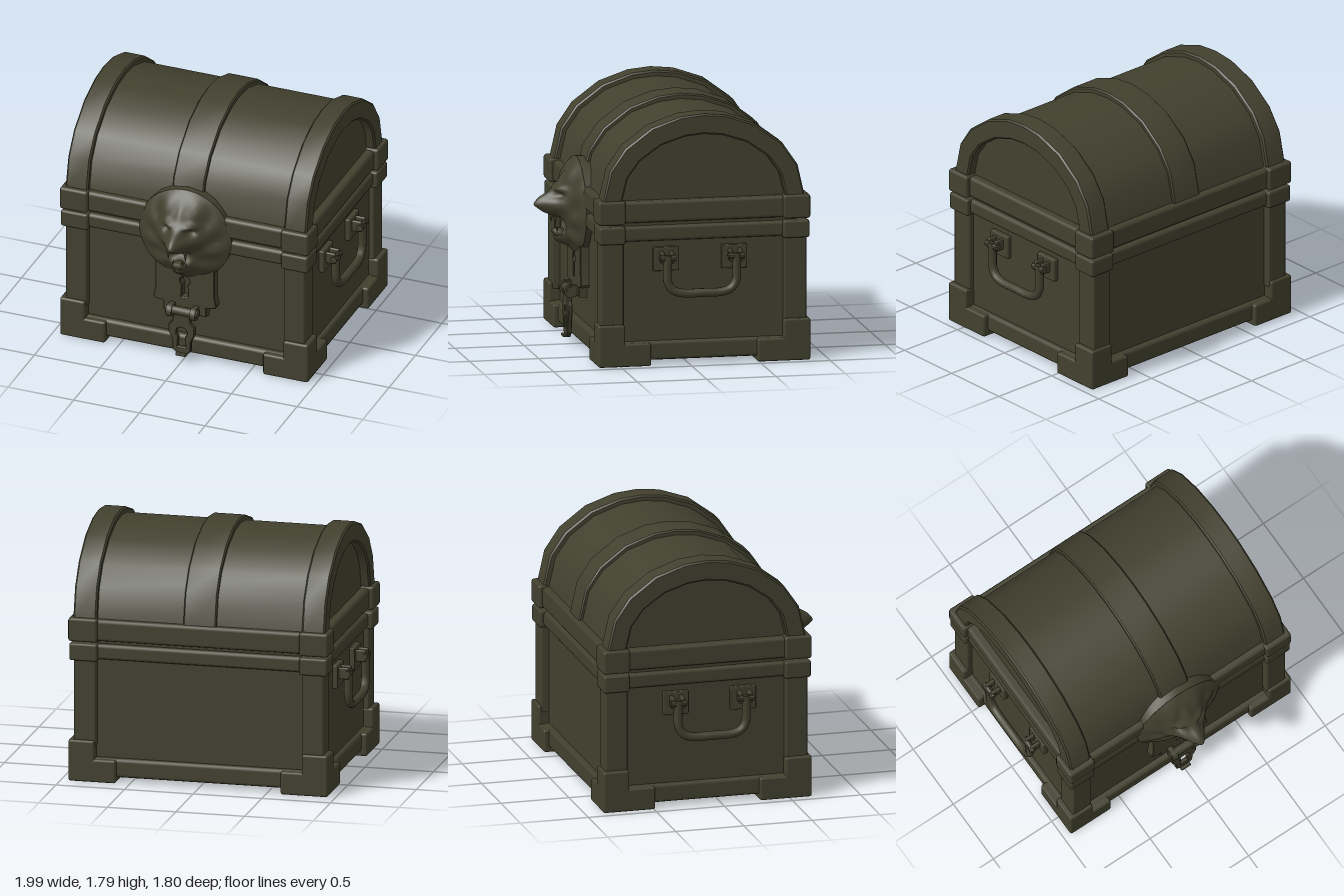
import * as THREE from 'three';
import { toCreasedNormals } from 'three/addons/utils/BufferGeometryUtils.js';
import { RoundedBoxGeometry } from 'three/addons/geometries/RoundedBoxGeometry.js';

const bronze = new THREE.MeshStandardMaterial({ color: 0x42412f });
bronze.name = 'dark olive bronze';

const CZ = -0.105; // middle of the chest in z
const RIM = 1.17; // springing height of the lid

function add(parent, name, geometry, x = 0, y = 0, z = 0) {
  const mesh = new THREE.Mesh(geometry, bronze);
  mesh.name = name;
  mesh.position.set(x, y, z);
  parent.add(mesh);
  return mesh;
}

// Box with small chamfers, given by its limits
function block(parent, name, x0, x1, y0, y1, z0, z1, r = 0.012) {
  const g = new RoundedBoxGeometry(x1 - x0, y1 - y0, z1 - z0, 1, r);
  return add(parent, name, g, (x0 + x1) / 2, (y0 + y1) / 2, (z0 + z1) / 2);
}

// Points of the lid arch in (-z, y)
function archPoints(half, height) {
  const pts = [];
  for (const a of [-90, -68, -51, -31, -13, 0, 13, 31, 51, 68, 90]) {
    const t = THREE.MathUtils.degToRad(a);
    pts.push(new THREE.Vector2(-CZ + half * Math.sin(t), RIM + height * Math.cos(t)));
  }
  return pts;
}

// Arch-shaped solid running along x; an inner arch makes it a hoop
function arch(parent, name, x0, x1, outer, inner, bevel = 0) {
  const pts = archPoints(...outer);
  if (inner) pts.push(...archPoints(...inner).reverse());
  const g = new THREE.ExtrudeGeometry(new THREE.Shape(pts), {
    depth: x1 - x0 - 2 * bevel, bevelEnabled: bevel > 0, bevelSize: bevel,
    bevelThickness: bevel, bevelOffset: -bevel, bevelSegments: 1,
  });
  g.rotateY(Math.PI / 2);
  return add(parent, name, toCreasedNormals(g, 0.6), x0 + bevel);
}

function plate(parent, name, shape, z, depth) {
  const g = new THREE.ExtrudeGeometry(shape, {
    depth, bevelEnabled: true, bevelSize: 0.006, bevelThickness: 0.006, bevelOffset: -0.006, bevelSegments: 1,
  });
  return add(parent, name, toCreasedNormals(g, 0.6), 0, 0, z);
}

function keyhole(y, r, bottom, w) {
  const path = new THREE.Path();
  const a = Math.acos(w / r);
  path.absarc(0, y, r, -a, Math.PI + a, false);
  path.lineTo(-w * 1.25, bottom);
  path.lineTo(w * 1.25, bottom);
  path.closePath();
  return path;
}

// Bars between the corners, on all four sides
function rails(parent, name, y0, y1, out) {
  const f = 0.625 + out, b = -0.835 - out, s = 0.905 + out;
  block(parent, name, -0.8, 0.8, y0, y1, f - 0.14, f, 0.025);
  block(parent, name, -0.8, 0.8, y0, y1, b, b + 0.14, 0.025);
  for (const k of [-1, 1]) {
    const x = k * (s - 0.07);
    block(parent, name, x - 0.07, x + 0.07, y0, y1, -0.75, 0.54, 0.025);
  }
}

// Relief of the beast head above its round shield
function headHeight(x, y) {
  const bump = (cx, cy, sx, sy, p = 1) =>
    Math.exp(-Math.pow(((x - cx) / sx) ** 2 + ((y - cy) / sy) ** 2, p));
  const ax = Math.abs(x), r = Math.min(Math.hypot(x, y) / 0.35, 1);
  const edge = 1 - r ** 6;
  let h = edge * (0.035 + 0.105 * bump(0, 0.04, 0.2, 0.32));
  h += edge * 0.012 * Math.sin(Math.atan2(ax, y) * 9 + r * 5) * THREE.MathUtils.smoothstep(r, 0.45, 0.7);
  h += 0.125 * bump(0, 0.01, 0.095, 0.085, 1.6); // muzzle
  h += 0.03 * bump(0, 0.09, 0.05, 0.1); // nose bridge
  h += 0.025 * bump(0, 0.01, 0.04, 0.025); // nose tip
  h += 0.04 * (bump(0.08, 0.13, 0.05, 0.025) + bump(-0.08, 0.13, 0.05, 0.025)); // brows
  h -= 0.035 * (bump(0.085, 0.085, 0.03, 0.022) + bump(-0.085, 0.085, 0.03, 0.022)); // eyes
  h += 0.03 * (bump(0.13, 0.02, 0.045, 0.06) + bump(-0.13, 0.02, 0.045, 0.06)); // cheeks
  h -= 0.06 * bump(0, -0.125, 0.075, 0.055, 2); // open mouth
  h += 0.08 * bump(0, -0.225, 0.06, 0.055, 1.5); // chin
  return h;
}

function beastHead(parent) {
  const head = new THREE.Group();
  head.name = 'beastHead';
  head.position.set(0, 1.0, 0.625);
  parent.add(head);
  const disc = new THREE.CylinderGeometry(0.35, 0.35, 0.08, 20).rotateX(Math.PI / 2);
  add(head, 'shieldDisc', toCreasedNormals(disc, 0.6), 0, 0, -0.042);
  const face = new THREE.RingGeometry(0.001, 0.35, 60, 26);
  const p = face.attributes.position;
  for (let i = 0; i < p.count; i++) p.setZ(i, headHeight(p.getX(i), p.getY(i)));
  face.computeVertexNormals();
  add(head, 'face', face);
  // Lower jaw reaching forward from the mouth
  const jaw = add(head, 'lowerJaw', new THREE.SphereGeometry(1, 14, 10), 0, -0.2, 0.11);
  jaw.scale.set(0.055, 0.035, 0.07);
  jaw.rotation.x = -0.35;
  for (const s of [-1, 1]) {
    const fang = add(head, 'upperFang', new THREE.ConeGeometry(0.015, 0.07, 8), s * 0.065, -0.1, 0.165);
    fang.rotation.x = Math.PI;
    add(head, 'lowerFang', new THREE.ConeGeometry(0.011, 0.05, 8), s * 0.035, -0.165, 0.145);
  }
}

function lock(parent) {
  const g = new THREE.Group();
  g.name = 'lock';
  parent.add(g);
  const half = [[0.225, 1], [0.225, 0.53], [0.24, 0.46], [0.23, 0.44], [0.165, 0.43], [0.165, 0.36]];
  const back = new THREE.Shape([...half, ...half.map(([x, y]) => [-x, y]).reverse()]
    .map(([x, y]) => new THREE.Vector2(x, y)));
  back.holes.push(keyhole(0.62, 0.035, 0.49, 0.02));
  plate(g, 'lockPlate', back, 0.575, 0.06);

  // Hinge barrel with lugs
  const barrel = new THREE.CylinderGeometry(0.032, 0.032, 0.24, 14).rotateZ(Math.PI / 2);
  add(g, 'hingePin', toCreasedNormals(barrel, 0.6), 0, 0.4, 0.685);
  for (const s of [-1, 1]) {
    const lug = new THREE.CylinderGeometry(0.047, 0.047, 0.04, 14).rotateZ(Math.PI / 2);
    add(g, 'hingeLug', toCreasedNormals(lug, 0.6), s * 0.09, 0.395, 0.685);
    block(g, 'hingeBase', s * 0.09 - 0.02, s * 0.09 + 0.02, 0.36, 0.44, 0.6, 0.69, 0.005);
  }
  // Hanging hasp
  const side = [[0.06, 0.39], [0.07, 0.32], [0.1, 0.29], [0.1, 0.23], [0.072, 0.17], [0.068, 0.09], [0.035, 0.06]];
  const hasp = new THREE.Shape([...side, ...side.map(([x, y]) => [-x, y]).reverse()]
    .map(([x, y]) => new THREE.Vector2(x, y)));
  hasp.holes.push(keyhole(0.235, 0.04, 0.12, 0.024));
  plate(g, 'hasp', hasp, 0.675, 0.022);
  block(g, 'haspTip', -0.04, 0.04, 0.055, 0.075, 0.67, 0.725, 0.006);
}

function sideHandle(parent, side) {
  const g = new THREE.Group();
  g.name = side > 0 ? 'leftHandle' : 'rightHandle';
  g.scale.x = 1;
  parent.add(g);
  for (const z of [0.167, -0.328]) {
    const x = side * 0.88;
    block(g, 'handlePlate', x - 0.025, x + 0.025, 0.675, 0.845, z - 0.092, z + 0.092, 0.008);
    for (const d of [-0.035, 0.035]) {
      block(g, 'handleLug', side * 0.935 - 0.04, side * 0.935 + 0.04, 0.735, 0.82, z + d - 0.013, z + d + 0.013, 0.01);
    }
    const pin = new THREE.CylinderGeometry(0.025, 0.025, 0.115, 10).rotateX(Math.PI / 2);
    add(g, 'handlePin', toCreasedNormals(pin, 0.6), side * 0.965, 0.775, z);
  }
  const path = new THREE.CatmullRomCurve3([
    [0.965, 0.8, 0.167], [0.962, 0.7, 0.17], [0.962, 0.6, 0.165], [0.964, 0.545, 0.13], [0.965, 0.522, 0.06],
    [0.965, 0.52, -0.08], [0.965, 0.522, -0.22], [0.964, 0.545, -0.29], [0.962, 0.6, -0.325],
    [0.962, 0.7, -0.33], [0.965, 0.8, -0.328],
  ].map(([x, y, z]) => new THREE.Vector3(side * x, y, z)));
  add(g, 'handleBar', new THREE.TubeGeometry(path, 48, 0.031, 10));
}

export function createModel() {
  const chest = new THREE.Group();
  chest.name = 'treasureChest';

  // Box body and its frame
  block(chest, 'bodyPanels', -0.87, 0.87, 0.03, 1.18, -0.79, 0.58);
  rails(chest, 'baseRail', 0.035, 0.17, 0);
  rails(chest, 'bodyRimRail', 0.89, 1.0, 0);
  rails(chest, 'lidRimRail', 1.025, 1.18, 0.008);
  for (const s of [-1, 1]) {
    for (const f of [-1, 1]) {
      // Each corner block spans from an inner to an outer limit
      const corner = (name, xi, xo, y0, y1, zi, zo, r) => {
        const xs = [s * xi, s * xo].sort((a, b) => a - b);
        const zs = [CZ + f * zi, CZ + f * zo].sort((a, b) => a - b);
        block(chest, name, xs[0], xs[1], y0, y1, zs[0], zs[1], r);
      };
      corner('cornerPost', 0.75, 0.91, 0.25, 0.9, 0.58, 0.742, 0.012);
      corner('cornerFoot', 0.6, 0.945, 0, 0.165, 0.385, 0.765, 0.015);
      corner('footCollar', 0.755, 0.945, 0.1, 0.3, 0.575, 0.765, 0.015);
      corner('bodyRimCorner', 0.735, 0.94, 0.88, 1.005, 0.57, 0.76, 0.015);
      corner('lidRimCorner', 0.735, 0.947, 1.02, 1.19, 0.57, 0.765, 0.018);
    }
  }

  // Barrel lid with end hoops and a middle band
  arch(chest, 'lidBarrel', -0.85, 0.85, [0.69, 0.585]);
  arch(chest, 'middleBand', -0.12, 0.12, [0.715, 0.622], [0.66, 0.55], 0.01);
  for (const s of [-1, 1]) {
    arch(chest, 'endHoop', s * 0.832 - 0.085, s * 0.832 + 0.085, [0.73, 0.625], [0.593, 0.478], 0.012);
    sideHandle(chest, s);
  }

  lock(chest);
  beastHead(chest);
  return chest;
}
